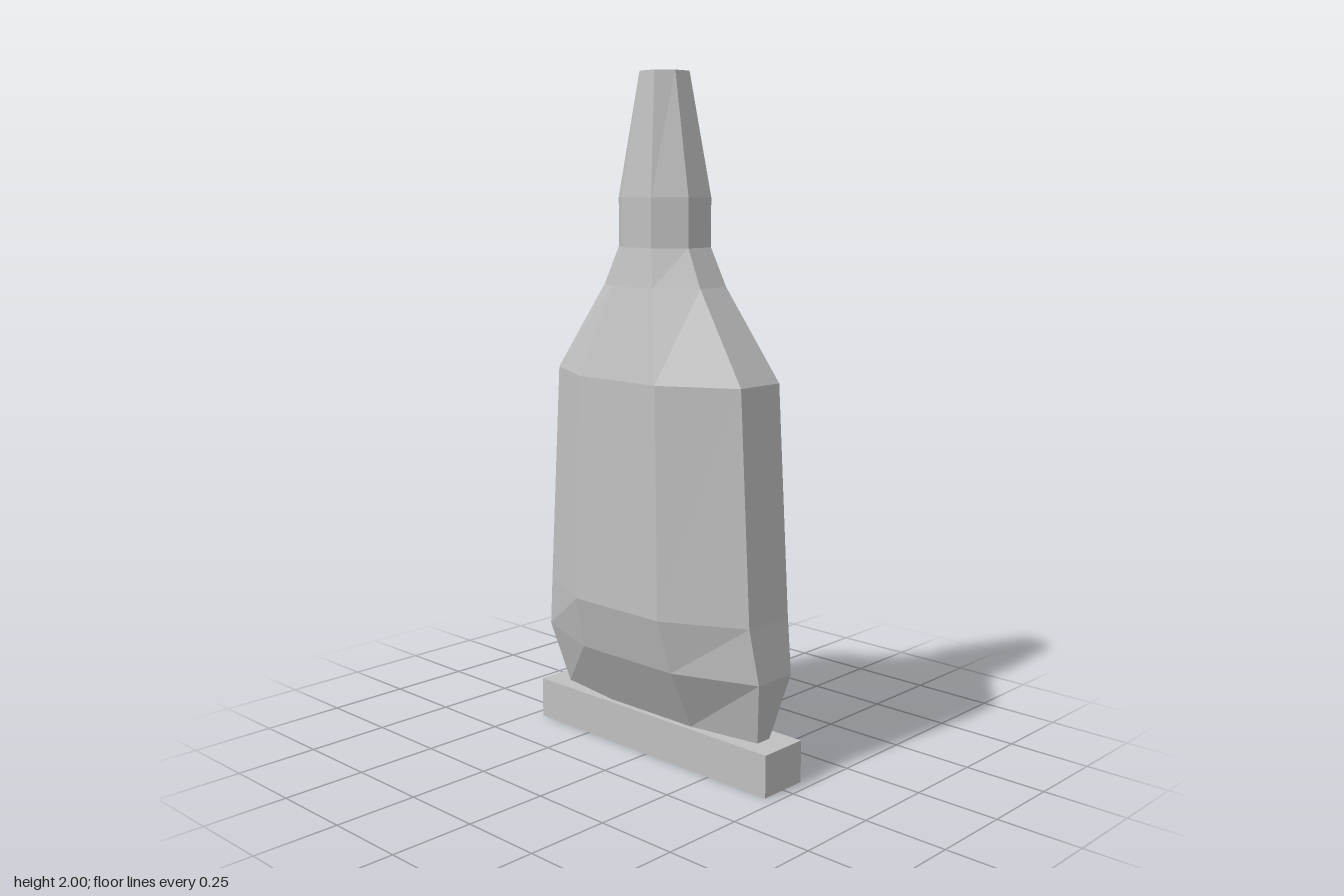
import * as THREE from 'three';

// Octagonal sections, bottom to top: y, half width, flat half width, half depth, flat half depth
const SECTIONS = [
  [0.125, 0.39, 0.165, 0.06, 0.026],
  [0.315, 0.43, 0.18, 0.162, 0.07],
  [0.475, 0.405, 0.167, 0.203, 0.084],
  [1.14, 0.365, 0.15, 0.195, 0.081],
  [1.4, 0.19, 0.08, 0.132, 0.054],
  [1.51, 0.138, 0.057, 0.113, 0.047],
  [1.65, 0.138, 0.057, 0.113, 0.047],
  [2, 0.07, 0.029, 0.07, 0.029],
];

// Corners run counter-clockwise seen from above
function octagon([y, w, a, d, b]) {
  return [[w, b], [w, -b], [a, -d], [-a, -d], [-w, -b], [-w, b], [-a, d], [a, d]]
    .map(([x, z]) => new THREE.Vector3(x, y, z));
}

function loft(sections) {
  const rings = sections.map(octagon);
  const n = 8;
  const points = [];
  for (let r = 0; r < rings.length - 1; r++) {
    for (let i = 0; i < n; i++) {
      const j = (i + 1) % n;
      const [a, b, c, d] = [rings[r][i], rings[r][j], rings[r + 1][j], rings[r + 1][i]];
      points.push(a, b, c, a, c, d);
    }
  }
  // End caps
  const bottom = rings[0];
  const top = rings[rings.length - 1];
  for (let i = 1; i < n - 1; i++) {
    points.push(top[0], top[i], top[i + 1], bottom[0], bottom[i + 1], bottom[i]);
  }
  const geometry = new THREE.BufferGeometry().setFromPoints(points);
  geometry.computeVertexNormals();
  return geometry;
}

export function createModel() {
  const group = new THREE.Group();
  group.name = 'squeezeTube';
  const grey = new THREE.MeshStandardMaterial({ color: 0xc0c0c0 });
  grey.name = 'lightGrey';

  // Flattened body rising into shoulder, neck and tapered nozzle
  const body = new THREE.Mesh(loft(SECTIONS), grey);
  body.name = 'tubeBody';
  group.add(body);

  // Crimped bar at the foot
  const crimp = new THREE.Mesh(new THREE.BoxGeometry(0.928, 0.125, 0.157), grey);
  crimp.name = 'crimpedEnd';
  crimp.position.y = 0.0625;
  group.add(crimp);

  return group;
}
